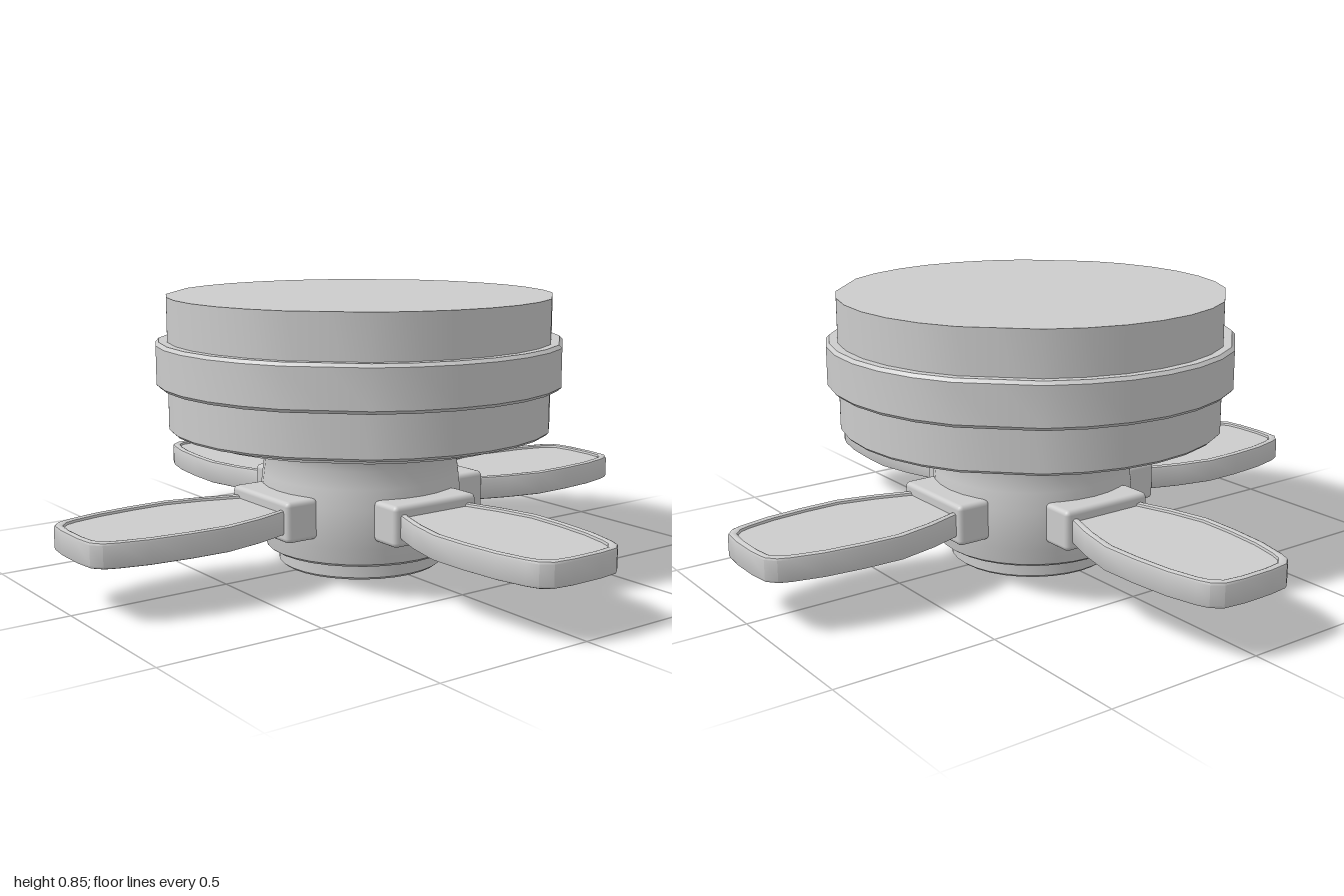
import * as THREE from 'three';
import { toCreasedNormals } from 'three/addons/utils/BufferGeometryUtils.js';
import { RoundedBoxGeometry } from 'three/addons/geometries/RoundedBoxGeometry.js';

const material = new THREE.MeshStandardMaterial({ color: 0xcccccc });

function part(name, geometry) {
  const mesh = new THREE.Mesh(geometry, material);
  mesh.name = name;
  return mesh;
}

// Turned solid from [radius, y] pairs, running bottom to top around the outside.
// With flats, the rim is cut straight across at the four diagonals.
function turned(points, flats) {
  const geo = new THREE.LatheGeometry(points.map(([r, y]) => new THREE.Vector2(r, y)), 32);
  if (flats) {
    const pos = geo.attributes.position;
    const k = Math.cos(Math.PI / 16);
    for (let i = 0; i < pos.count; i++) {
      const x = pos.getX(i), z = pos.getZ(i);
      if (Math.abs(Math.abs(x) - Math.abs(z)) < 1e-4) pos.setXYZ(i, x * k, pos.getY(i), z * k);
    }
  }
  return toCreasedNormals(geo, 0.6);
}

// Mirrored paddle outline: x is half width, y the distance from the hub axis.
function paddleOutline() {
  const half = [[0.125, 0.35], [0.17, 0.48], [0.197, 0.6], [0.194, 0.72], [0.182, 0.84],
    [0.16, 0.93], [0.145, 0.965], [0.115, 0.99], [0.05, 0.998]];
  const mirrored = half.map(([x, y]) => [-x, y]).reverse();
  return [...half, ...mirrored].map(([x, y]) => new THREE.Vector2(x, y));
}

// Flat slab lying in the xz plane, centred on height y
function slab(shape, y, height, bevel) {
  const depth = height - 2 * bevel;
  const geo = new THREE.ExtrudeGeometry(shape, {
    depth, bevelEnabled: bevel > 0, bevelThickness: bevel, bevelSize: bevel,
    bevelOffset: -bevel, bevelSegments: 2,
  });
  geo.rotateX(Math.PI / 2).translate(0, y + depth / 2, 0);
  return toCreasedNormals(geo, 0.6);
}

function paddle() {
  const group = new THREE.Group();
  const outline = paddleOutline();
  const inner = outline.map((p) => new THREE.Vector2(p.x * 0.87, 0.66 + (p.y - 0.66) * 0.93));

  // Raised rim around a slightly sunken panel
  const rim = new THREE.Shape(outline);
  rim.holes.push(new THREE.Path(inner));
  group.add(part('paddleRim', slab(rim, 0.197, 0.075, 0.008)));
  group.add(part('paddlePanel', slab(new THREE.Shape(inner), 0.197, 0.057, 0)));

  // Mount between hub and paddle
  const mount = new RoundedBoxGeometry(0.31, 0.125, 0.11, 2, 0.015);
  mount.translate(0, 0.198, 0.325);
  group.add(part('paddleMount', mount));
  return group;
}

export function createModel() {
  const model = new THREE.Group();
  model.name = 'paddleStand';

  // Round drum with a hollow underside and a belt
  model.add(part('drum', turned([
    [0, 0.53], [0.48, 0.53], [0.48, 0.415], [0.525, 0.415], [0.53, 0.435], [0.592, 0.435],
    [0.6, 0.443], [0.6, 0.845], [0, 0.845],
  ], true)));
  model.add(part('drumBelt', turned([
    [0.58, 0.572], [0.625, 0.572], [0.635, 0.582], [0.635, 0.7], [0.625, 0.71], [0.58, 0.71],
  ], true)));

  // Waisted hub
  model.add(part('hub', turned([
    [0, 0.05], [0.285, 0.05], [0.3, 0.06], [0.31, 0.11], [0.317, 0.17], [0.317, 0.23],
    [0.31, 0.29], [0.303, 0.345], [0.315, 0.385], [0.33, 0.42], [0.335, 0.54], [0, 0.54],
  ])));

  // Foot ring with a recessed base
  model.add(part('foot', turned([
    [0, 0.02], [0.21, 0.02], [0.215, 0], [0.25, 0], [0.26, 0.008], [0.26, 0.06], [0, 0.06],
  ])));

  // Four paddles around the hub
  ['front', 'left', 'back', 'right'].forEach((side, i) => {
    const arm = paddle();
    arm.name = side + 'Paddle';
    arm.rotation.y = (i * Math.PI) / 2;
    model.add(arm);
  });

  return model;
}
